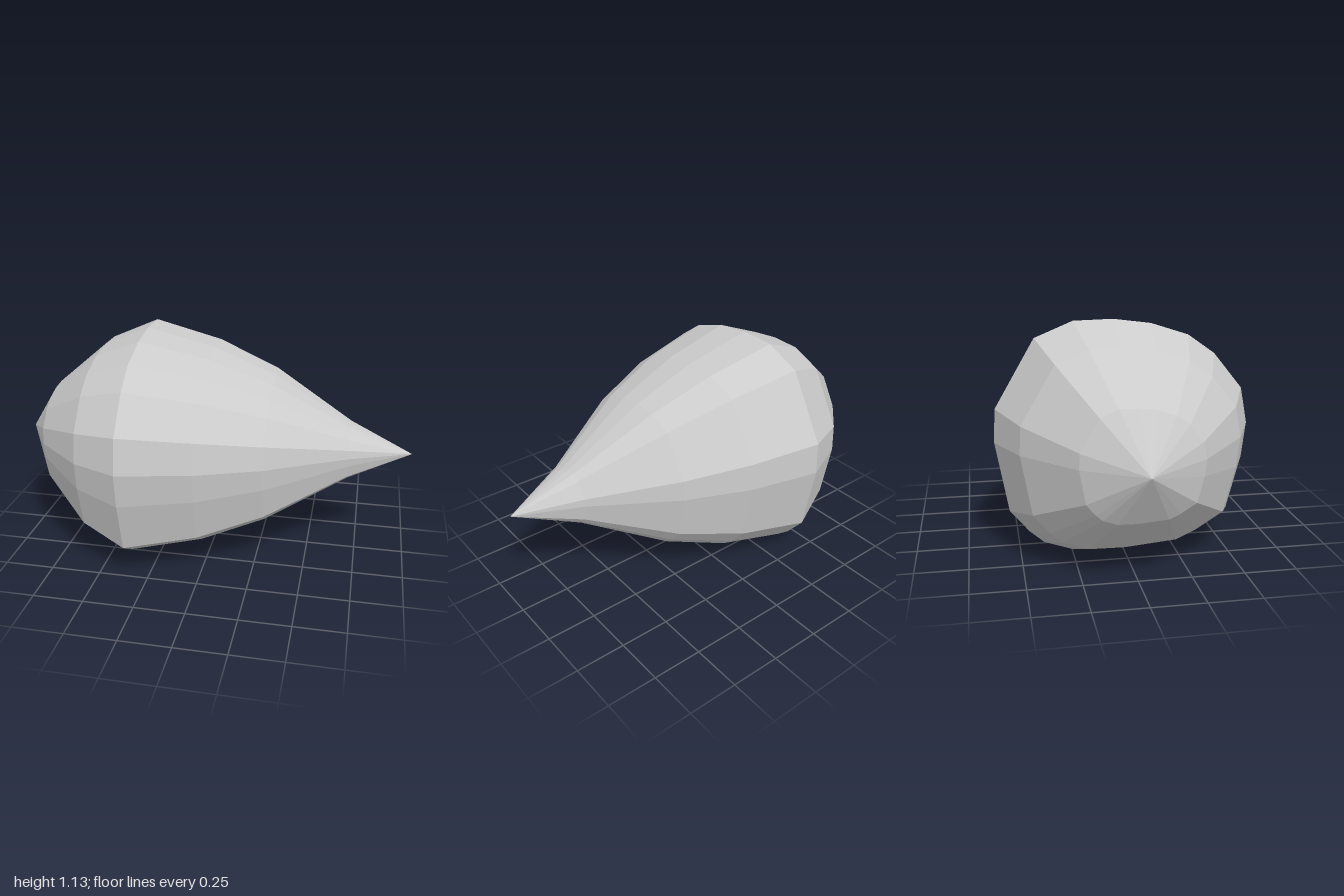
import * as THREE from 'three';

const AXIS_Y = 0.57;

// Widest cross-section as [z, y], running from the top towards the front
const SECTION = [
  [-0.415, 1.053], [-0.235, 1.128], [-0.05, 1.133], [0.13, 1.11], [0.31, 1.052],
  [0.44, 0.96], [0.58, 0.787], [0.613, 0.613], [0.593, 0.44], [0.525, 0.178],
  [0.37, 0.08], [0.255, 0.028], [-0.04, 0.002], [-0.245, 0.005], [-0.387, 0.054],
  [-0.455, 0.113], [-0.548, 0.224], [-0.61, 0.567], [-0.603, 0.728],
];

// Stations along the length as [x, section scale]
const STATIONS = [
  [-1, 0], [-0.84, 0.45], [-0.59, 0.828], [-0.36, 1],
  [-0.01, 0.858], [0.3, 0.64], [0.69, 0.239], [1, 0],
];

// Skin the scaled sections, closing to a point at both ends
function loftGeometry() {
  const point = (i, j) => {
    const [x, s] = STATIONS[i];
    const [z, y] = SECTION[j % SECTION.length];
    return [x, AXIS_Y + (y - AXIS_Y) * s, z * s];
  };
  const positions = [];
  const last = STATIONS.length - 2;
  for (let i = 0; i <= last; i++) {
    for (let j = 0; j < SECTION.length; j++) {
      const a = point(i, j), b = point(i, j + 1);
      const c = point(i + 1, j + 1), d = point(i + 1, j);
      if (i > 0) positions.push(...a, ...b, ...c);
      if (i < last) positions.push(...a, ...c, ...d);
      else continue;
    }
  }
  const geometry = new THREE.BufferGeometry();
  geometry.setAttribute('position', new THREE.Float32BufferAttribute(positions, 3));
  geometry.computeVertexNormals();
  return geometry;
}

export function createModel() {
  const group = new THREE.Group();
  group.name = 'taperedPod';
  // Faceted body, blunt on the right and drawn out to a tip on the left
  const material = new THREE.MeshStandardMaterial({ color: 0xcccccc, flatShading: true });
  const body = new THREE.Mesh(loftGeometry(), material);
  body.name = 'podBody';
  group.add(body);
  return group;
}
